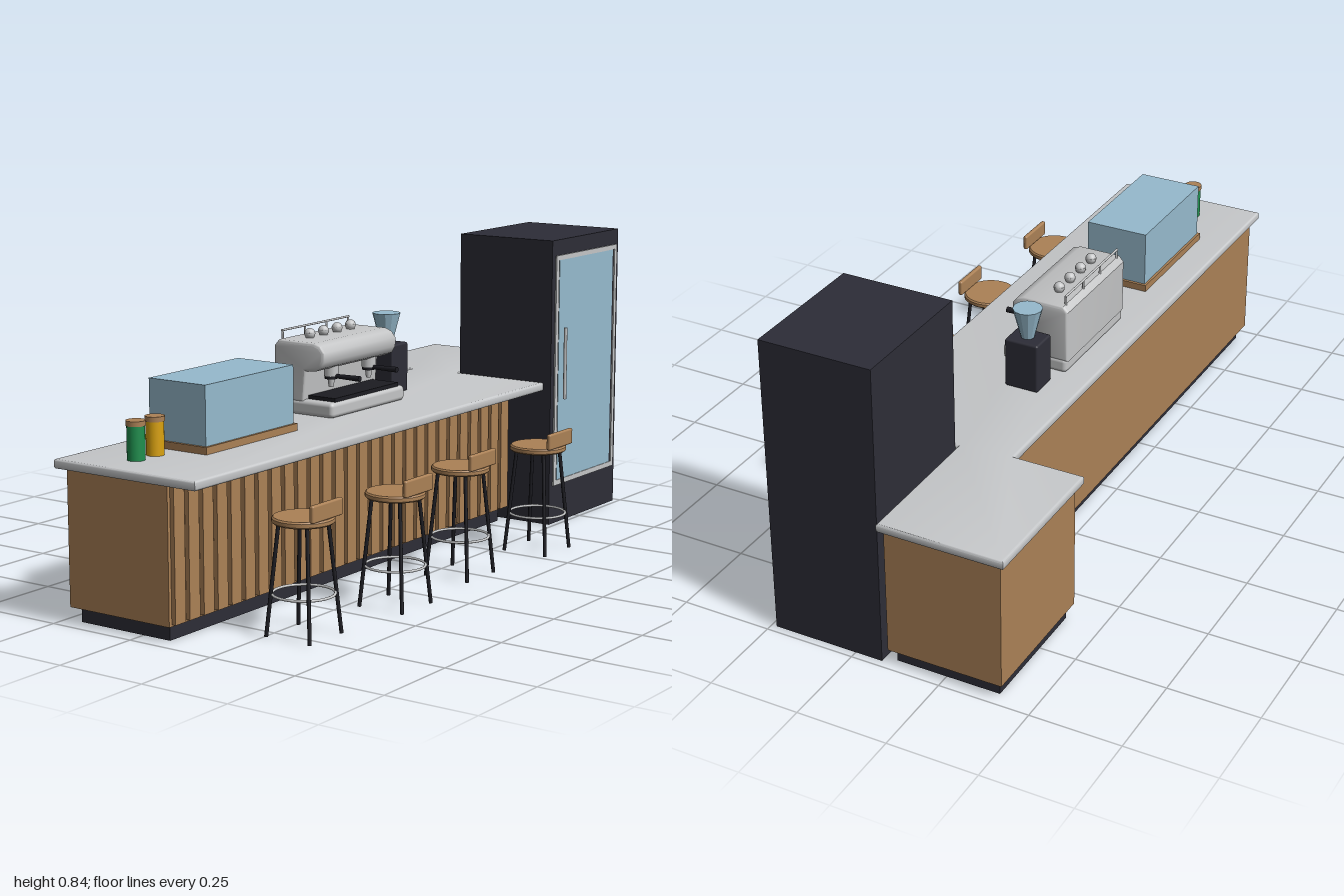
import * as THREE from 'three';
import { toCreasedNormals } from 'three/addons/utils/BufferGeometryUtils.js';
import { RoundedBoxGeometry } from 'three/addons/geometries/RoundedBoxGeometry.js';

const mat = (name, color) => Object.assign(new THREE.MeshStandardMaterial({ color }), { name });

export function createModel() {
  const wood = mat('wood', 0xab8156);
  const stone = mat('stone', 0xc6c8ca);
  const dark = mat('charcoal', 0x2d2d37);
  const black = mat('black', 0x1c1c22);
  const steel = mat('steel', 0xc4c5c6);
  const glass = mat('glass', 0x96bacd);
  const green = mat('green', 0x1f8f4e);
  const yellow = mat('yellow', 0xdba30f);

  const root = new THREE.Group();
  root.name = 'cafeCounter';
  const group = (name, parent = root) => {
    const g = new THREE.Group();
    g.name = name;
    parent.add(g);
    return g;
  };
  const add = (parent, name, geo, material, x = 0, y = 0, z = 0) => {
    const m = new THREE.Mesh(geo, material);
    m.name = name;
    m.position.set(x, y, z);
    parent.add(m);
    return m;
  };
  // Box given by its limits on each axis; r rounds the edges
  const box = (parent, name, material, [x0, x1], [y0, y1], [z0, z1], r = 0) => {
    const s = [x1 - x0, y1 - y0, z1 - z0];
    const geo = r ? new RoundedBoxGeometry(...s, 3, r) : new THREE.BoxGeometry(...s);
    return add(parent, name, geo, material, (x0 + x1) / 2, (y0 + y1) / 2, (z0 + z1) / 2);
  };
  // Round rod between two points
  const rod = (parent, name, material, a, b, r0, r1 = r0) => {
    const p = new THREE.Vector3(...a), q = new THREE.Vector3(...b), d = q.clone().sub(p);
    const m = add(parent, name, new THREE.CylinderGeometry(r1, r0, d.length(), 12), material);
    m.position.copy(p).add(q).multiplyScalar(0.5);
    m.quaternion.setFromUnitVectors(new THREE.Vector3(0, 1, 0), d.normalize());
    return m;
  };
  const outline = (pts) => new THREE.Shape(pts.map((p) => new THREE.Vector2(...p)));

  // Counter: cabinets, plinths and slatted front
  const counter = group('counter');
  box(counter, 'mainCabinet', wood, [-0.97, 0.575], [0.04, 0.395], [-0.22, 0.1]);
  box(counter, 'mainPlinth', dark, [-0.95, 0.555], [0, 0.04], [-0.2, 0.085]);
  box(counter, 'returnCabinet', wood, [0.59, 0.98], [0.04, 0.395], [-0.415, -0.095]);
  box(counter, 'returnPlinth', dark, [0.605, 0.96], [0, 0.04], [-0.4, -0.11]);
  const slats = 28, pitch = 1.54 / slats;
  for (let i = 0; i < slats; i++) {
    const x = -0.968 + pitch * (i + 0.5);
    box(counter, 'slat', wood, [x - 0.02, x + 0.02], [0.045, 0.39], [0.1, 0.112]);
  }

  // L-shaped worktop with softened edges
  const b = 0.006;
  const top = new THREE.ExtrudeGeometry(outline([
    [-1 + b, -0.21 + b], [0.595 - b, -0.21 + b], [0.595 - b, 0.085 + b], [0.997 - b, 0.085 + b],
    [0.997 - b, 0.432 - b], [0.575 + b, 0.432 - b], [0.575 + b, 0.235 - b], [-1 + b, 0.235 - b],
  ]), { depth: 0.025 - 2 * b, bevelSize: b, bevelThickness: b, bevelSegments: 3 });
  top.rotateX(-Math.PI / 2);
  add(counter, 'worktop', toCreasedNormals(top, 0.6), stone, 0, 0.396 + b, 0);

  // Glass-door fridge
  const fridge = group('fridge');
  box(fridge, 'fridgeBody', dark, [0.595, 0.98], [0, 0.835], [-0.077, 0.235]);
  const frame = outline([[0.613, 0.113], [0.968, 0.113], [0.968, 0.79], [0.613, 0.79]]);
  frame.holes.push(outline([[0.628, 0.128], [0.628, 0.776], [0.954, 0.776], [0.954, 0.128]]));
  add(fridge, 'doorFrame', new THREE.ExtrudeGeometry(frame, { depth: 0.006, bevelEnabled: false }),
    steel, 0, 0, 0.233);
  box(fridge, 'doorGlass', glass, [0.634, 0.946], [0.128, 0.776], [0.234, 0.237]);
  rod(fridge, 'doorHandle', steel, [0.642, 0.37, 0.255], [0.642, 0.58, 0.255], 0.005);

  // Bar stools with low backs facing away from the counter
  const makeStool = (x, z) => {
    const stool = group('stool');
    stool.position.set(x, 0, z);
    const seat = new THREE.LatheGeometry([[0, 0.283], [0.074, 0.283], [0.078, 0.287],
      [0.078, 0.296], [0.074, 0.3], [0, 0.3]].map((p) => new THREE.Vector2(...p)), 32);
    add(stool, 'seat', toCreasedNormals(seat, 0.6), wood);
    box(stool, 'backrest', wood, [-0.062, 0.062], [0.3, 0.344], [0.062, 0.075], 0.005);
    for (const sx of [-1, 1]) {
      for (const sz of [-1, 1]) {
        rod(stool, 'leg', black, [sx * 0.066, 0, sz * 0.066], [sx * 0.043, 0.285, sz * 0.043], 0.005);
      }
    }
    const ring = new THREE.TorusGeometry(0.078, 0.0035, 8, 36);
    ring.rotateX(Math.PI / 2);
    add(stool, 'footRing', ring, steel, 0, 0.106, 0);
  };
  [[-0.722, 0.32], [-0.37, 0.35], [-0.018, 0.32], [0.335, 0.35]].forEach((p) => makeStool(...p));

  // Pastry display case
  const display = group('displayCase');
  box(display, 'displayBase', wood, [-0.752, -0.375], [0.42, 0.44], [-0.15, 0.045]);
  box(display, 'displayGlass', glass, [-0.745, -0.383], [0.44, 0.595], [-0.143, 0.038]);

  // Storage jars with wooden lids
  for (const [x, m] of [[-0.892, green], [-0.82, yellow]]) {
    const jar = group('jar');
    jar.position.set(x, 0, -0.062);
    add(jar, 'jarBody', new THREE.CylinderGeometry(0.023, 0.023, 0.087, 24), m, 0, 0.4635, 0);
    add(jar, 'jarLid', new THREE.CylinderGeometry(0.025, 0.025, 0.013, 24), wood, 0, 0.5135, 0);
  }

  // Espresso machine: base, overhanging body, group heads, cups and rail
  const machine = group('espressoMachine');
  machine.position.x = -0.027;
  box(machine, 'machineBase', steel, [-0.173, 0.173], [0.42, 0.462], [-0.162, 0.03], 0.012);
  box(machine, 'dripTray', black, [-0.15, 0.15], [0.46, 0.472], [-0.065, 0.022]);
  const r = 0.008, depth = 0.344 - 2 * r;
  const body = new THREE.ExtrudeGeometry(outline([
    [-0.157, 0.463], [-0.157, 0.6], [-0.147, 0.611], [-0.035, 0.611], [-0.017, 0.605], [-0.007, 0.592],
    [-0.007, 0.572], [-0.015, 0.558], [-0.03, 0.551], [-0.068, 0.547], [-0.075, 0.463],
  ]), { depth, bevelSize: r, bevelThickness: r, bevelSegments: 3 });
  body.translate(0, 0, -depth / 2).rotateY(-Math.PI / 2);
  add(machine, 'machineBody', toCreasedNormals(body, 0.7), steel);
  for (const x of [-0.088, 0.088]) {
    rod(machine, 'groupHead', steel, [x, 0.52, -0.035], [x, 0.55, -0.035], 0.02);
    rod(machine, 'portafilter', black, [x, 0.512, -0.035], [x, 0.526, -0.035], 0.018);
    rod(machine, 'portafilterHandle', black, [x, 0.52, -0.02], [x, 0.52, 0.06], 0.006, 0.008);
    rod(machine, 'spout', steel, [x, 0.49, -0.035], [x, 0.513, -0.035], 0.007, 0.01);
  }
  for (let i = 0; i < 4; i++) {
    const x = -0.096 + i * 0.063;
    rod(machine, 'cup', steel, [x, 0.617, -0.1], [x, 0.633, -0.1], 0.011, 0.015);
    add(machine, 'cupDome', new THREE.SphereGeometry(0.015, 16, 10), steel, x, 0.63, -0.1);
  }
  rod(machine, 'rail', steel, [-0.155, 0.642, -0.15], [0.155, 0.642, -0.15], 0.003);
  for (const x of [-0.152, -0.05, 0.05, 0.152]) {
    rod(machine, 'railPost', steel, [x, 0.615, -0.15], [x, 0.642, -0.15], 0.003);
  }

  // Coffee grinder with flared hopper
  const grinder = group('grinder');
  box(grinder, 'grinderBody', dark, [0.193, 0.272], [0.42, 0.56], [-0.142, -0.045], 0.006);
  add(grinder, 'hopper', toCreasedNormals(new THREE.CylinderGeometry(0.04, 0.018, 0.085, 12), 0.3),
    glass, 0.232, 0.602, -0.093);

  return root;
}
